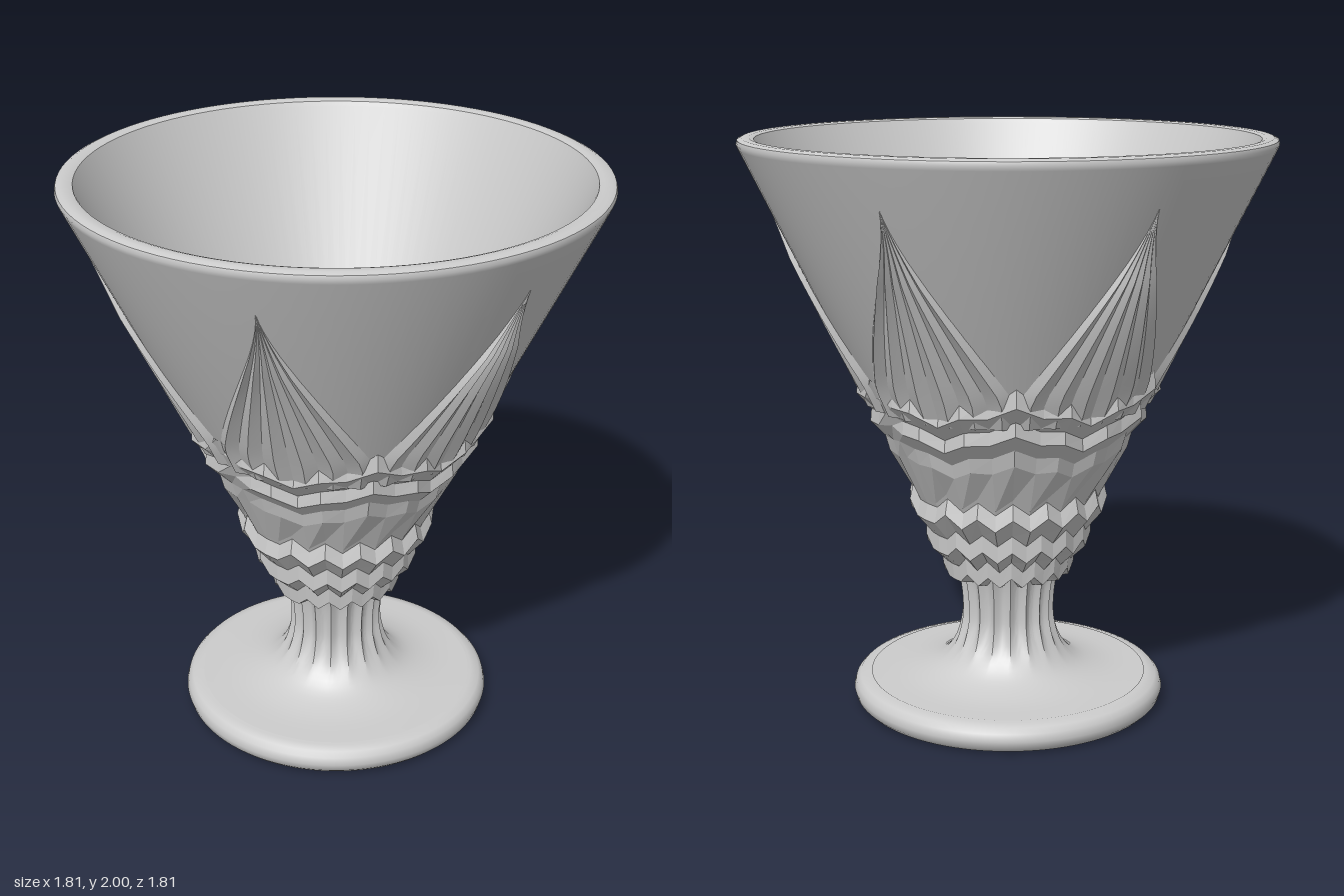
import * as THREE from 'three';
import { toCreasedNormals } from 'three/addons/utils/BufferGeometryUtils.js';

const TAU = Math.PI * 2;
const DEG = Math.PI / 180;
const cone = (y) => 0.9 - 0.483 * (1.97 - y); // outer bowl radius at a height

// Grid surface around the axis: fn(row, column) returns [angle, radius, height]
function grid(rows, cols, fn) {
  const pos = [], index = [];
  for (let i = 0; i <= rows; i++) {
    for (let j = 0; j <= cols; j++) {
      const [a, r, y] = fn(i, j);
      pos.push(r * Math.sin(a), y, r * Math.cos(a));
      if (i < rows && j < cols) {
        const p = i * (cols + 1) + j, q = p + cols + 1;
        index.push(p, p + 1, q + 1, p, q + 1, q);
      }
    }
  }
  const geo = new THREE.BufferGeometry();
  geo.setAttribute('position', new THREE.Float32BufferAttribute(pos, 3));
  geo.setIndex(index);
  geo.computeVertexNormals();
  return geo;
}

function lathe(points) {
  const geo = new THREE.LatheGeometry(points.map(([x, y]) => new THREE.Vector2(x, y)), 96);
  return toCreasedNormals(geo, 0.7);
}

export function createModel() {
  const group = new THREE.Group();
  const smooth = new THREE.MeshStandardMaterial({ color: 0xcccccc, side: THREE.DoubleSide });
  const faceted = new THREE.MeshStandardMaterial({ color: 0xcccccc, side: THREE.DoubleSide, flatShading: true });
  const add = (name, geo, mat = smooth) => {
    const mesh = new THREE.Mesh(geo, mat);
    mesh.name = name;
    group.add(mesh);
    return mesh;
  };

  // Plain conical bowl with rounded rim and hollow inside
  add('bowl', lathe([
    [cone(0.85) - 0.005, 0.85], [cone(1.4), 1.4], [0.898, 1.965], [0.904, 1.98], [0.9, 1.993],
    [0.885, 2], [0.86, 2], [0.845, 1.995], [0.838, 1.98],
    [0.5, 1.28], [0.2, 0.66], [0.175, 0.625], [0.12, 0.605], [0, 0.6],
  ]));

  // Six pointed petals, each a fan of ribs running up to its tip
  const ROWS = 18, COLS = 12, BASE = 1.1, TIP = 1.845;
  const petal = toCreasedNormals(grid(ROWS, COLS, (i, j) => {
    const y = BASE + (TIP - BASE) * (i / ROWS);
    const width = 30 * Math.min(1, Math.pow((TIP - y) / (TIP - 1.2), 1.55));
    const s = j / (COLS / 2) - 1;
    const fade = Math.min(1, width / 7);
    const edge = j === 0 || j === COLS;
    const relief = edge ? -0.004 : (j % 2 ? 0.02 : 0.004) * fade;
    return [s * width * DEG, cone(y) + relief, y];
  }), 0.25);
  for (let k = 0; k < 6; k++) add('petal', petal).rotation.y = (30 + 60 * k) * DEG;

  // Cut zigzag bands: [height, radius, zigzag height, arch height]
  const bands = [
    [0.465, 0.14, 0.015, 0], [0.49, 0.228, 0.018, 0], [0.55, 0.235, 0.02, 0],
    [0.6, 0.288, 0.02, 0], [0.66, 0.288, 0.02, 0], [0.73, 0.345, 0.022, 0],
    [0.785, 0.332, 0.022, 0], [0.8, cone(0.8) + 0.004, 0.022, 0],
    [0.93, cone(0.93) + 0.014, 0.012, 0.02], [0.985, cone(0.985) + 0.003, 0.012, 0.025],
    [1.04, cone(1.04) + 0.028, 0.012, 0.028], [1.085, cone(1.085) + 0.003, 0.012, 0.03],
    [1.14, cone(1.14) + 0.026, 0.014, 0.03], [1.2, cone(1.2) - 0.008, 0.014, 0.035],
  ];
  add('cutBands', grid(bands.length - 1, 36, (i, j) => {
    const [y, r, zig, arch] = bands[i];
    const a = j * 10 * DEG;
    const seam = j % 18 === 0; // calmer panels at front and back
    const tooth = j % 2 || seam ? -1 : 1;
    const h = y + zig * tooth + arch * Math.cos(6 * a);
    let radius = r + (i ? 0.005 * tooth : 0);
    if (arch) radius += cone(h) - cone(y);
    if (arch && seam) radius = cone(h) + 0.003;
    return [a, radius, h];
  }), faceted);

  // Fluted stem flaring towards the foot
  const profile = new THREE.SplineCurve([
    [0.49, 0.1], [0.36, 0.108], [0.255, 0.14], [0.195, 0.2], [0.168, 0.28],
    [0.163, 0.35], [0.17, 0.43], [0.185, 0.5],
  ].map(([x, y]) => new THREE.Vector2(x, y)));
  const stemRows = 28, stemCols = 144;
  add('stem', toCreasedNormals(grid(stemRows, stemCols, (i, j) => {
    const p = profile.getPoint(i / stemRows);
    const a = (j / stemCols) * TAU;
    const depth = 0.017 * THREE.MathUtils.smoothstep(p.y, 0.14, 0.3);
    return [a, p.x - depth * Math.abs(Math.sin(9 * a)), p.y];
  }), 0.4));

  // Round foot with a soft edge
  add('foot', lathe([
    [0, 0], [0.5, 0], [0.53, 0.006], [0.546, 0.022], [0.553, 0.047],
    [0.546, 0.073], [0.53, 0.09], [0.5, 0.097], [0.4, 0.1], [0, 0.1],
  ]));

  return group;
}
